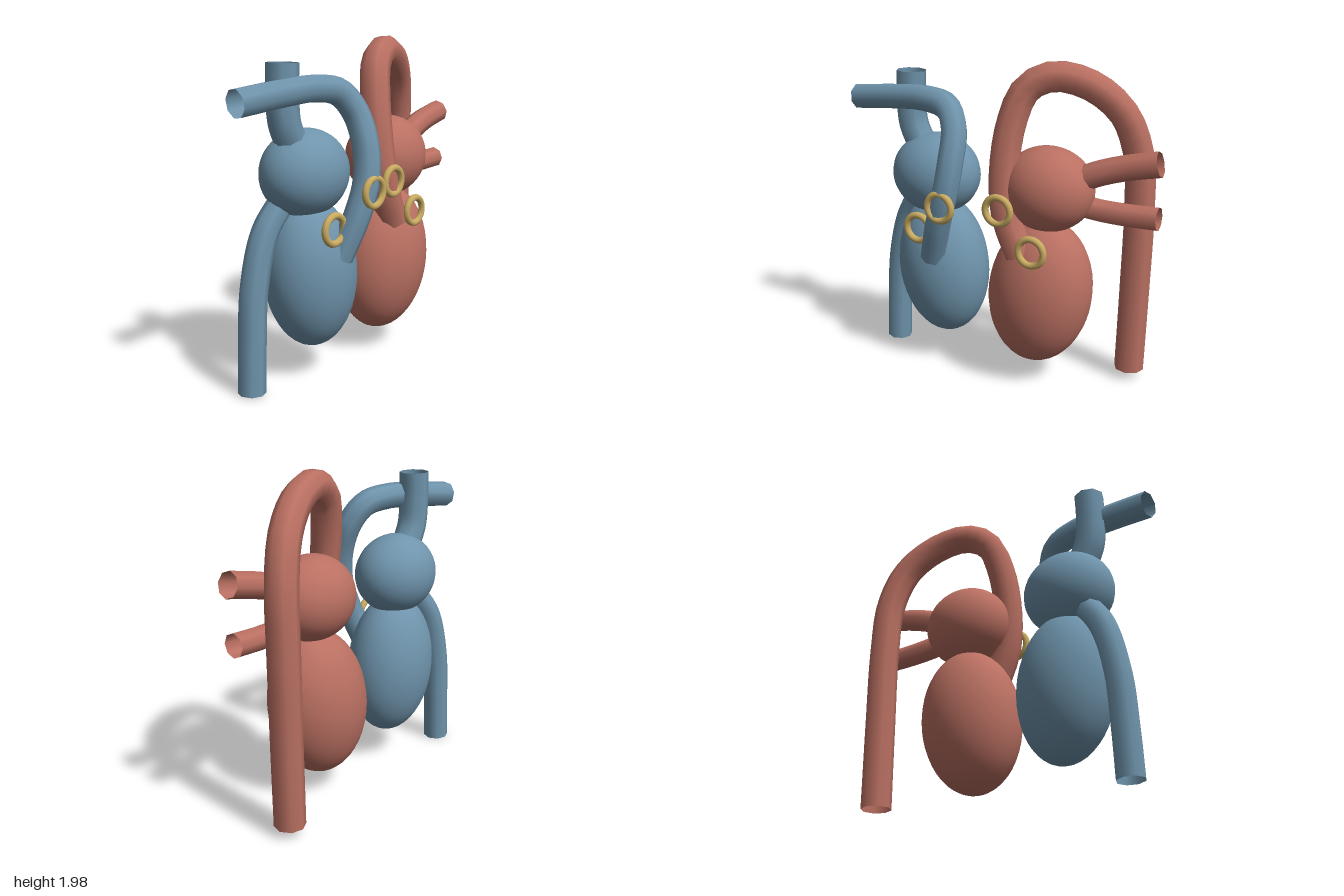
import * as THREE from 'three';

function material(name, color) {
  const m = new THREE.MeshStandardMaterial({ color, side: THREE.DoubleSide });
  m.name = name;
  return m;
}

export function createModel() {
  const blue = material('vein blue', 0x6f94ac);
  const red = material('artery red', 0xba7062);
  const gold = material('valve gold', 0xc9ab62);
  const model = new THREE.Group();
  model.name = 'heartCirculation';

  function add(parent, name, geometry, mat) {
    const mesh = new THREE.Mesh(geometry, mat);
    mesh.name = name;
    parent.add(mesh);
    return mesh;
  }

  // Rounded chamber: a stretched sphere with an optional lean
  function chamber(parent, name, mat, centre, radii, lean = 0) {
    const geometry = new THREE.SphereGeometry(1, 32, 24);
    geometry.scale(...radii).rotateZ(lean);
    add(parent, name, geometry, mat).position.set(...centre);
  }

  // Open-ended vessel following a smooth path
  function vessel(parent, name, mat, radius, points) {
    const path = new THREE.CatmullRomCurve3(points.map((p) => new THREE.Vector3(...p)));
    add(parent, name, new THREE.TubeGeometry(path, 40, radius, 8, false), mat);
  }

  // Valve ring facing forward
  function valve(parent, name, centre) {
    add(parent, name, new THREE.TorusGeometry(0.081, 0.021, 10, 28), gold).position.set(...centre);
  }

  // Right heart (blue)
  const right = new THREE.Group();
  right.name = 'rightHeart';
  model.add(right);
  chamber(right, 'rightAtrium', blue, [-0.443, 1.247, 0], [0.286, 0.255, 0.238]);
  chamber(right, 'rightVentricle', blue, [-0.402, 0.65, 0], [0.298, 0.456, 0.257], 0.09);
  vessel(right, 'upperVein', blue, 0.092, [
    [-0.61, 1.875, 0], [-0.615, 1.7, 0], [-0.6, 1.54, 0], [-0.53, 1.4, 0], [-0.46, 1.3, 0],
  ]);
  vessel(right, 'lowerVein', blue, 0.081, [
    [-0.825, 0.012, -0.08], [-0.812, 0.3, -0.08], [-0.785, 0.63, -0.08],
    [-0.7, 0.93, -0.07], [-0.56, 1.12, -0.04],
  ]);
  vessel(right, 'lungArtery', blue, 0.08, [
    [-0.365, 0.76, 0.19], [-0.285, 1.0, 0.255], [-0.222, 1.2, 0.274], [-0.195, 1.4, 0.245],
    [-0.205, 1.58, 0.18], [-0.28, 1.695, 0.125], [-0.45, 1.728, 0.09],
    [-0.7, 1.715, 0.06], [-0.992, 1.685, 0.028],
  ]);
  valve(right, 'inflowValveRight', [-0.447, 0.947, 0.225]);
  valve(right, 'outflowValveRight', [-0.225, 1.14, 0.333]);

  // Left heart (red)
  const left = new THREE.Group();
  left.name = 'leftHeart';
  model.add(left);
  chamber(left, 'leftAtrium', red, [0.322, 1.247, 0], [0.286, 0.255, 0.238]);
  chamber(left, 'leftVentricle', red, [0.283, 0.59, 0], [0.325, 0.464, 0.274], -0.14);
  vessel(left, 'aorta', red, 0.092, [
    [0.215, 0.86, 0.14], [0.125, 1.08, 0.142], [0.095, 1.3, 0.125], [0.115, 1.62, 0.075],
    [0.19, 1.83, 0.02], [0.33, 1.902, -0.035], [0.53, 1.855, -0.11],
    [0.7, 1.7, -0.19], [0.785, 1.45, -0.245], [0.8, 1.1, -0.264],
    [0.795, 0.6, -0.265], [0.785, 0.068, -0.265],
  ]);
  vessel(left, 'upperLungVein', red, 0.075, [
    [0.45, 1.29, 0], [0.62, 1.37, -0.02], [0.78, 1.42, -0.04], [0.98, 1.464, -0.05],
  ]);
  vessel(left, 'lowerLungVein', red, 0.07, [
    [0.45, 1.18, -0.03], [0.6, 1.145, -0.06], [0.78, 1.135, -0.07], [0.98, 1.138, -0.075],
  ]);
  valve(left, 'outflowValveLeft', [0.105, 1.14, 0.223]);
  valve(left, 'inflowValveLeft', [0.323, 0.92, 0.227]);

  return model;
}
